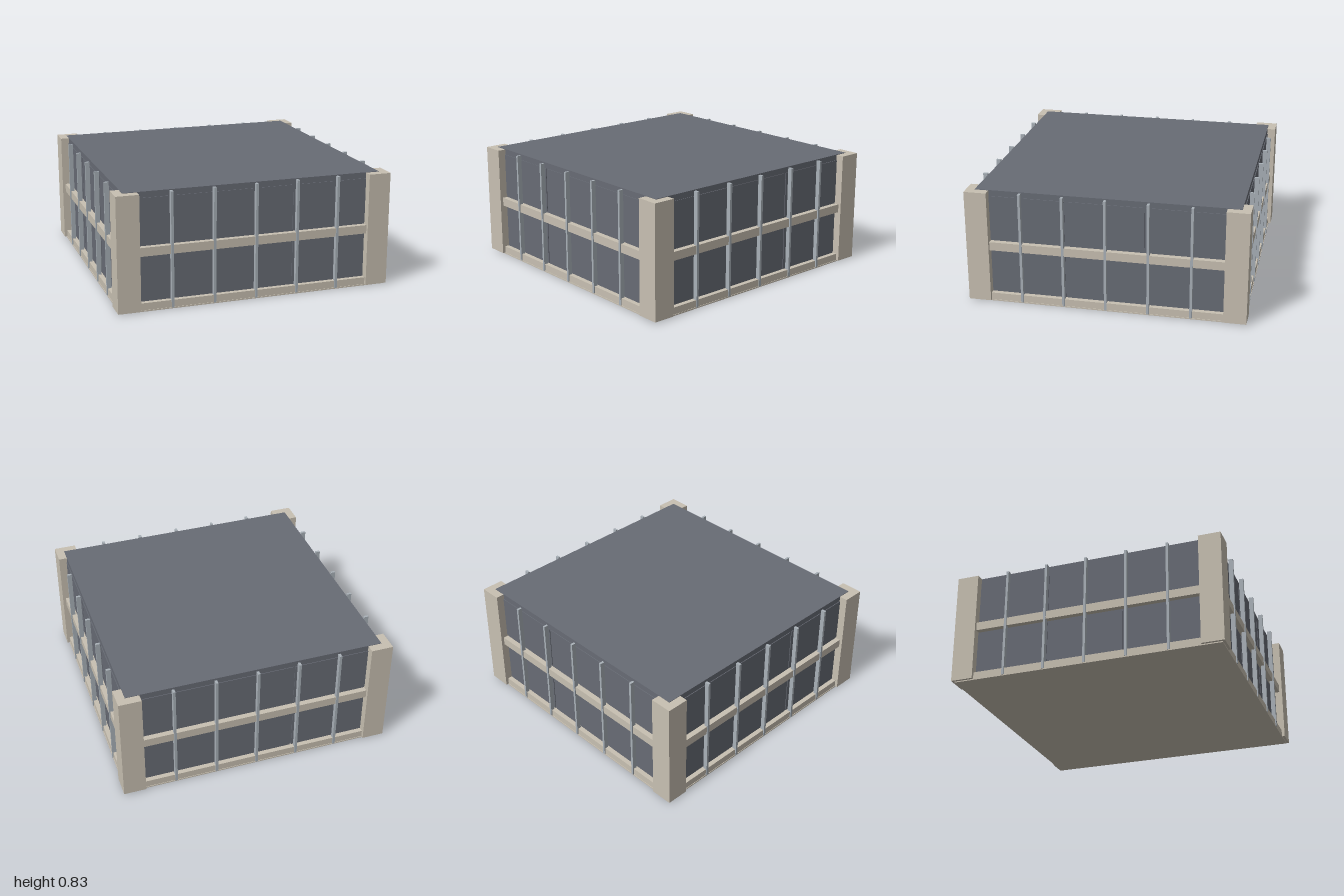
import * as THREE from 'three';

const stone = new THREE.MeshStandardMaterial({ name: 'stone', color: 0xc8c0b2 });
const glass = new THREE.MeshStandardMaterial({ name: 'darkGlass', color: 0x686c75 });
const metal = new THREE.MeshStandardMaterial({ name: 'mullionMetal', color: 0xa9b1b8 });

// Box given by its lower and upper bounds
function box(parent, name, material, [x0, y0, z0], [x1, y1, z1]) {
  const mesh = new THREE.Mesh(new THREE.BoxGeometry(x1 - x0, y1 - y0, z1 - z0), material);
  mesh.position.set((x0 + x1) / 2, (y0 + y1) / 2, (z0 + z1) / 2);
  mesh.name = name;
  parent.add(mesh);
  return mesh;
}

// One side of the building, facing +z
function createFacade() {
  const side = new THREE.Group();

  // Stone bands at floor level
  box(side, 'lowerBand', stone, [-0.85, 0.008, 0.93], [0.85, 0.06, 0.978]);
  box(side, 'middleBand', stone, [-0.85, 0.393, 0.93], [0.85, 0.455, 0.978]);

  // Three thin window panes per storey
  for (const [y0, y1] of [[0.06, 0.382], [0.468, 0.792]]) {
    for (const [x0, x1] of [[-0.84, -0.295], [-0.283, 0.27], [0.283, 0.84]]) {
      box(side, 'windowPane', glass, [x0, y0, 0.937], [x1, y1, 0.943]);
    }
  }

  // Vertical mullions
  for (let i = -2; i <= 2; i++) {
    const x = i * 0.304;
    box(side, 'mullion', metal, [x - 0.009, 0.008, 0.953], [x + 0.009, 0.832, 0.986]);
  }
  return side;
}

export function createModel() {
  const model = new THREE.Group();
  model.name = 'buildingStorey';

  box(model, 'baseSlab', stone, [-0.982, 0, -0.982], [0.982, 0.009, 0.982]);
  box(model, 'glassCore', glass, [-0.938, 0.009, -0.938], [0.938, 0.835, 0.938]);

  // Corner pillars
  for (const sx of [-1, 1]) {
    for (const sz of [-1, 1]) {
      const pillar = box(model, 'cornerPillar', stone, [-0.081, 0.008, -0.081], [0.081, 0.832, 0.081]);
      pillar.position.x = sx * 0.919;
      pillar.position.z = sz * 0.919;
    }
  }

  // Four matching sides
  ['front', 'left', 'back', 'right'].forEach((name, i) => {
    const side = createFacade();
    side.name = name + 'Facade';
    side.rotation.y = i * Math.PI / 2;
    model.add(side);
  });
  return model;
}
